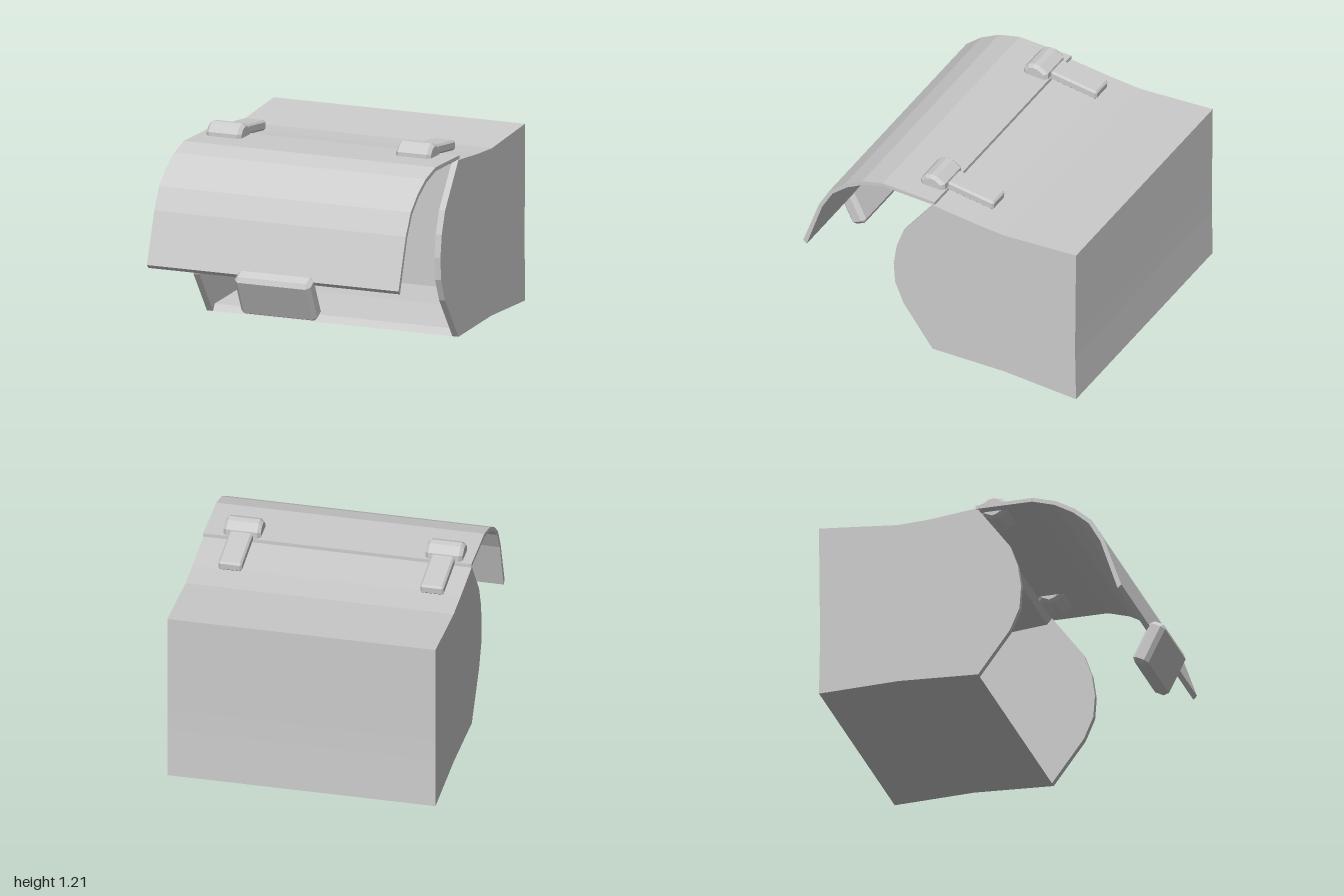
import * as THREE from 'three';
import { ConvexGeometry } from 'three/addons/geometries/ConvexGeometry.js';

const material = new THREE.MeshStandardMaterial({ color: 0xcccccc, flatShading: true });

function part(geometry, name, parent) {
  const mesh = new THREE.Mesh(geometry, material);
  mesh.name = name;
  parent.add(mesh);
  return mesh;
}

// Sweeps a [z, y] side profile along x, centred on x = 0
function sweep(profile, width) {
  const shape = new THREE.Shape(profile.map(([z, y]) => new THREE.Vector2(-z, y)));
  const geometry = new THREE.ExtrudeGeometry(shape, { depth: width, bevelEnabled: false });
  geometry.translate(0, 0, -width / 2);
  return geometry.rotateY(Math.PI / 2);
}

// Box with every edge chamfered by c
function chamferedBox(w, h, d, c) {
  const points = [];
  for (const x of [-1, 1]) for (const y of [-1, 1]) for (const z of [-1, 1]) {
    for (const k of [0, 1, 2]) {
      points.push(new THREE.Vector3(
        x * (w / 2 - (k === 0 ? 0 : c)),
        y * (h / 2 - (k === 1 ? 0 : c)),
        z * (d / 2 - (k === 2 ? 0 : c))));
    }
  }
  return new ConvexGeometry(points);
}

// Hinge knuckle: convex [z, y] profile with narrowed ends
function knuckle(width, c) {
  const profile = [[0.083, 0.02], [0.083, -0.03], [0.025, -0.065], [-0.01, -0.075],
    [-0.07, -0.05], [-0.085, -0.03], [-0.085, 0.035], [-0.03, 0.07], [0.01, 0.075], [0.05, 0.06]];
  const points = [];
  for (const side of [-1, 1]) for (const [z, y] of profile) {
    points.push(new THREE.Vector3(side * (width / 2 - c), y, z));
    points.push(new THREE.Vector3(side * width / 2, y * 0.75, z * 0.75));
  }
  return new ConvexGeometry(points);
}

export function createModel() {
  const model = new THREE.Group();

  // Hollow box, open at the front
  const body = new THREE.Group();
  body.name = 'body';
  model.add(body);
  const outer = [[0, 0], [-0.5, 0.02], [-1, 0], [-0.994, 0.32], [-0.994, 0.46],
    [-1, 1.1], [-0.5, 1.06], [-0.3, 1.072], [0, 1.1]];
  const inner = [[-0.03, 1.062], [-0.3, 1.035], [-0.5, 1.02], [-0.955, 1.058],
    [-0.955, 0.04], [-0.5, 0.055], [-0.03, 0.04]];
  part(sweep([...outer, ...inner], 1.58), 'shell', body);

  // Side walls with bulging front edges
  const bulge = [[0.2, 0.83], [0.25, 0.69], [0.27, 0.55], [0.26, 0.41], [0.2, 0.27]];
  for (const side of [-1, 1]) {
    part(sweep([...outer, ...bulge], 0.04), 'sideWall', body).position.x = side * 0.81;
  }

  // Thin curved lid, swung open
  const lidTop = [[-0.015, 1.127], [0.345, 1.132], [0.49, 1.092], [0.61, 1.025],
    [0.715, 0.935], [0.79, 0.8], [0.9, 0.485]];
  const lidUnder = [[0.877, 0.462], [0.768, 0.79], [0.695, 0.918], [0.597, 1.003],
    [0.48, 1.068], [0.34, 1.108], [-0.015, 1.104]];
  part(sweep([...lidTop, ...lidUnder], 1.66), 'lid', model);

  // Hinges
  for (const x of [-0.655, 0.595]) {
    const hinge = new THREE.Group();
    hinge.name = 'hinge';
    hinge.position.x = x;
    part(knuckle(0.23, 0.02), 'hingeKnuckle', hinge).position.set(0, 1.134, 0.077);
    const arm = part(chamferedBox(0.145, 0.062, 0.325, 0.012), 'hingeArm', hinge);
    arm.position.set(0, 1.122, -0.168);
    arm.rotation.x = -0.12;
    model.add(hinge);
  }

  // Tilted handle on the lid's lower edge
  const handle = part(chamferedBox(0.5, 0.285, 0.11, 0.025), 'handle', model);
  handle.position.set(0.03, 0.378, 0.892);
  handle.rotation.x = 0.46;

  return model;
}
